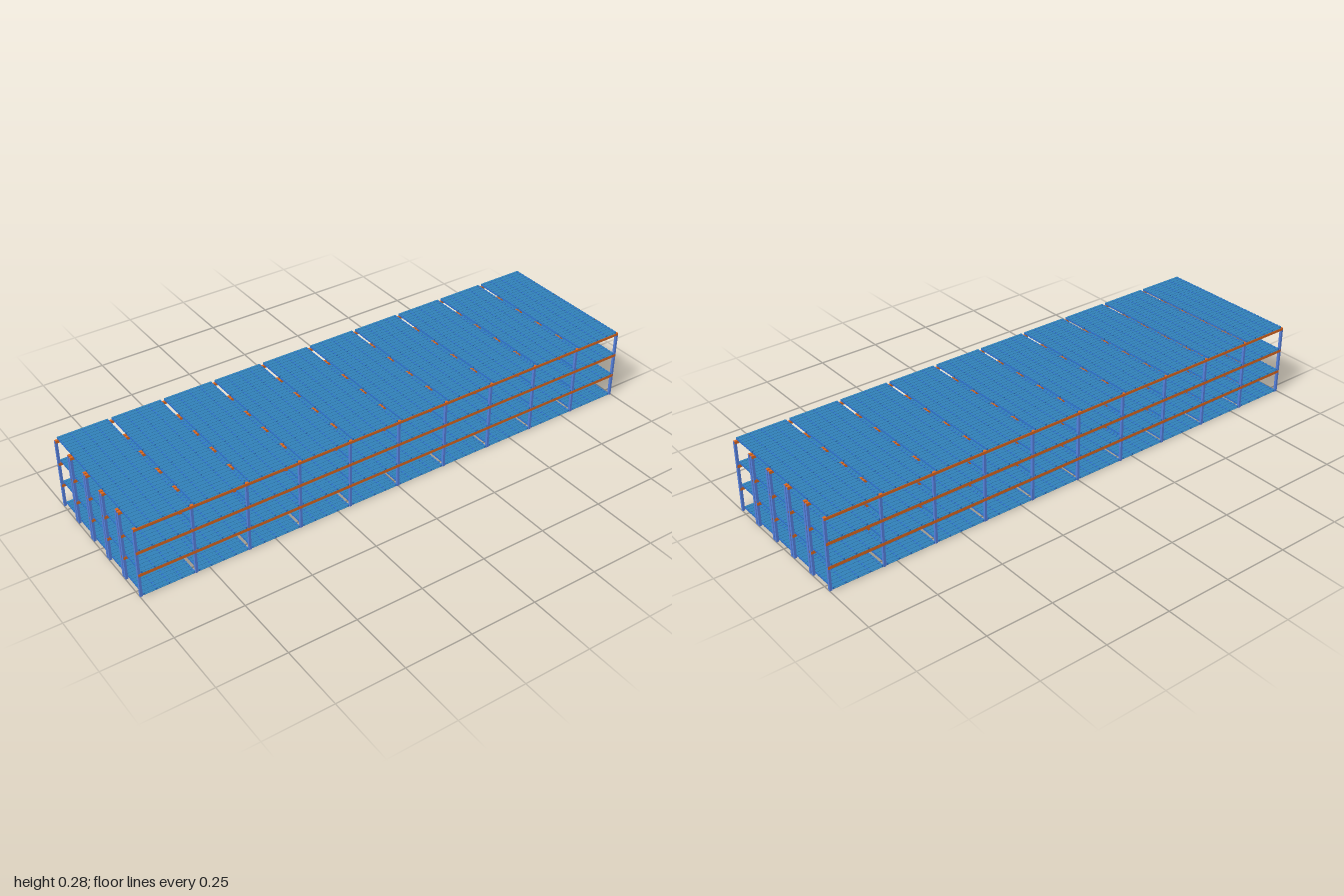
import * as THREE from 'three';
import { mergeGeometries } from 'three/addons/utils/BufferGeometryUtils.js';

const ROWS = 5, BAYS = 10;
const ROW_PITCH = 0.1133, ROW_WIDTH = 0.1085;
const POST = 0.009, POST_HEIGHT = 0.271;
const BAY_PITCH = (2 - POST) / BAYS;
const DECK_LENGTH = 0.185, DECK_HEIGHT = 0.008, SLAT = 0.0012;
const SLATS = 7, JOISTS = 5;

// bottom and top of the beams on each loaded level
const BEAMS = [[0.081, 0.092], [0.17, 0.181], [0.262, 0.272]];
// underside of each slatted deck, the first one lying on the floor
const DECKS = [0.002, 0.092, 0.181, 0.273];

// box of size (w, h, d) standing on y, centred on x and z
function box(w, h, d, x, y, z) {
  return new THREE.BoxGeometry(w, h, d).translate(x, y + h / 2, z);
}

function part(name, boxes, color) {
  const mesh = new THREE.Mesh(
    mergeGeometries(boxes),
    new THREE.MeshStandardMaterial({ color })
  );
  mesh.name = name;
  return mesh;
}

function spread(i, count, span) {
  return (i / (count - 1) - 0.5) * span;
}

function createRow() {
  const posts = [], beams = [], crossBars = [], joists = [], slats = [];
  const postZ = (ROW_WIDTH - POST) / 2;

  // uprights in pairs along the aisle
  for (let i = 0; i <= BAYS; i++) {
    const x = (i - BAYS / 2) * BAY_PITCH;
    for (const side of [-1, 1]) posts.push(box(POST, POST_HEIGHT, POST, x, 0, side * postZ));
  }

  // long beams on both faces, just proud of the uprights
  for (const [low, high] of BEAMS) {
    for (const side of [-1, 1]) {
      beams.push(box(1.998, high - low, POST + 0.0006, 0, low, side * postZ));
    }
  }

  for (let bay = 0; bay < BAYS; bay++) {
    const cx = (bay - (BAYS - 1) / 2) * BAY_PITCH;

    // bars tying front beam to back beam
    for (const [low, high] of BEAMS) {
      for (let i = 0; i < 4; i++) {
        const x = cx + spread(i, 4, 0.15);
        crossBars.push(box(0.006, high - low - 0.0006, ROW_WIDTH - 2 * POST, x, low, 0));
      }
    }

    // decks: joists between an upper and a lower layer of slats
    for (const y of DECKS) {
      for (let i = 0; i < JOISTS; i++) {
        const x = cx + spread(i, JOISTS, DECK_LENGTH - 0.005);
        joists.push(box(0.005, DECK_HEIGHT - 2 * SLAT, ROW_WIDTH - 0.001, x, y + SLAT, 0));
      }
      for (let i = 0; i < SLATS; i++) {
        const z = spread(i, SLATS, ROW_WIDTH - POST - 0.001);
        slats.push(box(DECK_LENGTH, SLAT, POST, cx, y, z));
        slats.push(box(DECK_LENGTH, SLAT, POST, cx, y + DECK_HEIGHT - SLAT, z));
      }
    }
  }

  const row = new THREE.Group();
  row.add(
    part('uprights', posts, 0x5580dd),
    part('beams', beams, 0xd9661f),
    part('crossBars', crossBars, 0xd9661f),
    part('deckJoists', joists, 0x2f72d0),
    part('deckSlats', slats, 0x3080b8)
  );
  return row;
}

export function createModel() {
  const model = new THREE.Group();
  model.name = 'storageRack';

  // identical rows standing back to back
  const row = createRow();
  for (let i = 0; i < ROWS; i++) {
    const copy = row.clone();
    copy.name = `rackRow${i + 1}`;
    copy.position.z = (i - (ROWS - 1) / 2) * ROW_PITCH;
    model.add(copy);
  }
  return model;
}
